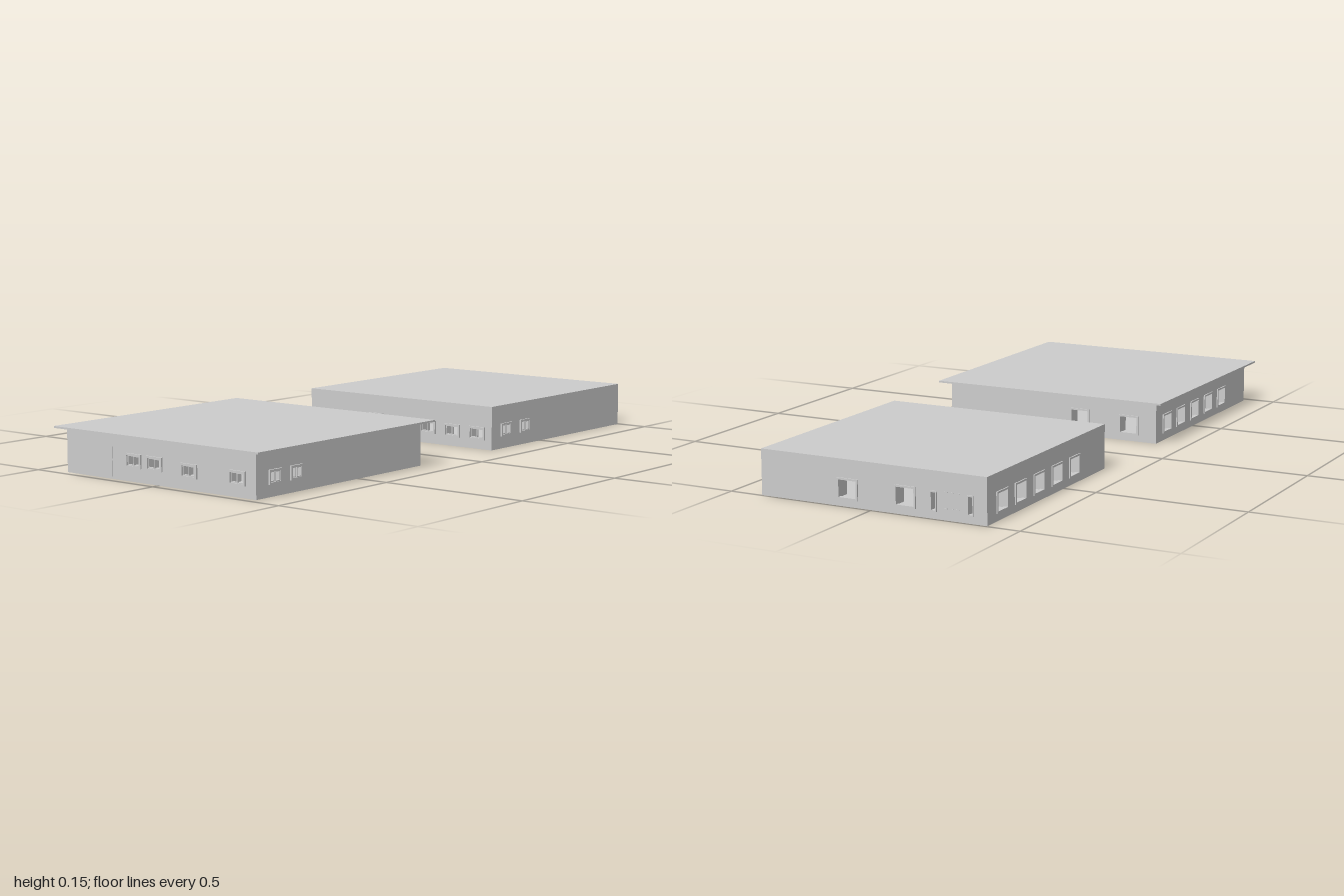
import * as THREE from 'three';

const T = 0.05;      // wall thickness
const SLAB = 0.006;  // floor and ceiling thickness
const concrete = new THREE.MeshStandardMaterial({ color: 0xcccccc });
concrete.name = 'light grey';

function rect(Type, cx, cy, w, h) {
  const p = new Type();
  p.moveTo(cx - w / 2, cy - h / 2);
  p.lineTo(cx + w / 2, cy - h / 2);
  p.lineTo(cx + w / 2, cy + h / 2);
  p.lineTo(cx - w / 2, cy + h / 2);
  p.closePath();
  return p;
}

function extrude(name, shape, depth, z) {
  const g = new THREE.ExtrudeGeometry(shape, { depth, bevelEnabled: false });
  g.translate(0, 0, z);
  const m = new THREE.Mesh(g, concrete);
  m.name = name;
  return m;
}

function box(name, x0, x1, y0, y1, z0, z1) {
  const m = new THREE.Mesh(new THREE.BoxGeometry(x1 - x0, y1 - y0, z1 - z0), concrete);
  m.position.set((x0 + x1) / 2, (y0 + y1) / 2, (z0 + z1) / 2);
  m.name = name;
  return m;
}

// Rectangular rim around an opening
function rim(name, o, border, depth, z) {
  const s = rect(THREE.Shape, o.x, o.y, o.w, o.h);
  s.holes.push(rect(THREE.Path, o.x, o.y, o.w - 2 * border, o.h - 2 * border));
  return extrude(name, s, depth, z);
}

// Wall with its outer face on local z = 0, pierced by framed openings
function wall(name, width, y0, y1, openings) {
  const g = new THREE.Group();
  g.name = name;
  const s = rect(THREE.Shape, 0, (y0 + y1) / 2, width, y1 - y0);
  for (const o of openings) {
    s.holes.push(rect(THREE.Path, o.x, o.y, o.w - 0.004, o.h - 0.004));
    g.add(rim('windowFrame', o, o.border, o.out + 0.01, -0.01));
    if (o.sash) {
      // Sliding pair of sashes
      const w = (o.w - 2 * o.border) / 2;
      for (const k of [-1, 1]) {
        const pane = { x: o.x + k * w / 2, y: o.y, w, h: o.h - 2 * o.border };
        g.add(rim('windowSash', pane, 0.003, 0.008, k < 0 ? -0.008 : -0.004));
      }
    }
  }
  g.add(extrude('wallPanel', s, T, -T));
  return g;
}

// Openings: sliding window, plain square window, narrow slit
const sliding = (x, y, w = 0.065) => ({ x, y, w, h: 0.044, border: 0.006, out: 0.006, sash: true });
const square = (x, y) => ({ x, y, w: 0.072, h: 0.066, border: 0.006, out: 0.004 });
const slit = (x, y) => ({ x, y, w: 0.022, h: 0.062, border: 0.004, out: 0.004 });

function building(name, b, sides) {
  const { x0, x1, z0, z1, h } = b;
  const cx = (x0 + x1) / 2, cz = (z0 + z1) / 2;
  const g = new THREE.Group();
  g.name = name;
  g.add(box('floor', x0, x1, 0, SLAB, z0, z1));
  g.add(box('ceiling', x0, x1, h - SLAB, h, z0, z1));
  const place = (label, len, list, toLocal, x, z, angle) => {
    const w = wall(label, len, SLAB, h - SLAB, list.map(o => ({ ...o, x: toLocal(o.x) })));
    w.position.set(x, 0, z);
    w.rotation.y = angle;
    g.add(w);
  };
  place('frontWall', x1 - x0, sides.front, x => x - cx, cx, z1, 0);
  place('backWall', x1 - x0, sides.back, x => cx - x, cx, z0, Math.PI);
  place('leftWall', z1 - z0 - 2 * T, sides.left, z => cz - z, x1, cz, Math.PI / 2);
  place('rightWall', z1 - z0 - 2 * T, sides.right, z => z - cz, x0, cz, -Math.PI / 2);
  return g;
}

export function createModel() {
  const model = new THREE.Group();
  model.name = 'twoBuildings';

  // Front building with overhanging roof
  const front = building('frontBuilding', { x0: -0.394, x1: 0.391, z0: 0.185, z1: 0.973, h: 0.14 }, {
    front: [sliding(-0.104, 0.065), sliding(-0.016, 0.065), sliding(0.126, 0.058), sliding(0.319, 0.058)],
    back: [square(-0.11, 0.06), square(-0.293, 0.055)],
    left: [sliding(0.892, 0.06, 0.055), sliding(0.795, 0.06, 0.055)],
    right: [0.275, 0.39, 0.51, 0.63, 0.75].map(z => square(z, 0.057)),
  });
  front.add(box('roof', -0.425, 0.422, 0.14, 0.146, 0.15, 1));
  front.add(box('doorEdge', -0.199, -0.195, 0.008, 0.1, 0.965, 0.975));
  model.add(front);

  // Back building with flat top
  const back = building('backBuilding', { x0: -0.391, x1: 0.389, z0: -0.996, z1: -0.21, h: 0.146 }, {
    front: [sliding(-0.1, 0.062), sliding(-0.016, 0.06), sliding(0.125, 0.056),
      sliding(0.227, 0.053), sliding(0.33, 0.053)],
    back: [square(0.082, 0.055), square(-0.117, 0.056), slit(-0.213, 0.054), slit(-0.337, 0.054)],
    left: [sliding(-0.29, 0.063, 0.057), sliding(-0.402, 0.063, 0.057)],
    right: [-0.905, -0.79, -0.67, -0.55, -0.43].map(z => square(z, 0.057)),
  });
  // Slim trim strips between the two slits
  for (const y of [0.036, 0.085]) {
    for (const x of [-0.295, -0.275, -0.255]) {
      back.add(box('trimStrip', x - 0.006, x + 0.006, y - 0.001, y + 0.001, -0.9975, -0.99));
    }
  }
  model.add(back);
  return model;
}
